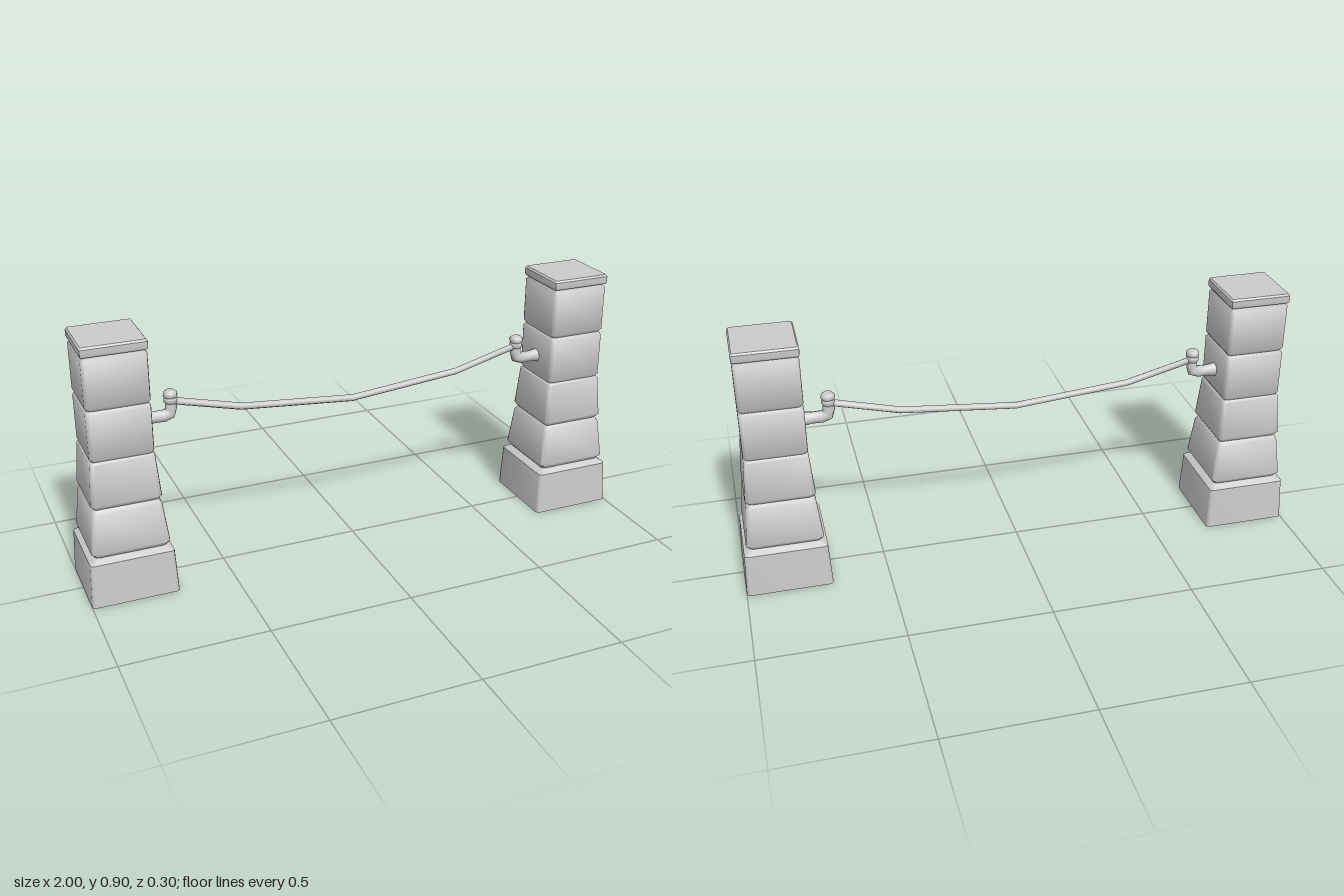
import * as THREE from 'three';
import { toCreasedNormals } from 'three/addons/utils/BufferGeometryUtils.js';

const material = new THREE.MeshStandardMaterial({ color: 0xcccccc, side: THREE.DoubleSide });

// Skin a list of equal-length rings, each running counter-clockwise about the path
function loft(name, rings, { capStart = false, capEnd = false, crease = 0.9 } = {}) {
  const n = rings[0].length, positions = rings.flat(2), index = [];
  for (let i = 0; i < rings.length - 1; i++) {
    for (let j = 0; j < n; j++) {
      const a = i * n + j, b = i * n + (j + 1) % n;
      index.push(a, b, a + n, b, b + n, a + n);
    }
  }
  const last = (rings.length - 1) * n;
  for (let j = 1; j < n - 1; j++) {
    if (capStart) index.push(0, j + 1, j);
    if (capEnd) index.push(last, last + j, last + j + 1);
  }
  const geometry = new THREE.BufferGeometry();
  geometry.setAttribute('position', new THREE.Float32BufferAttribute(positions, 3));
  geometry.setIndex(index);
  const mesh = new THREE.Mesh(toCreasedNormals(geometry, crease), material);
  mesh.name = name;
  return mesh;
}

// Horizontal square ring with rounded corners
function squareRing(half, y, corner = 0.012) {
  const ring = [], c = half - corner;
  for (let k = 0; k < 4; k++) {
    for (let s = 0; s <= 2; s++) {
      const t = (k + s / 2) * Math.PI / 2;
      const mid = (k + 0.5) * Math.PI / 2;
      ring.push([
        Math.sign(Math.sin(mid)) * c + Math.sin(t) * corner, y,
        Math.sign(Math.cos(mid)) * c + Math.cos(t) * corner,
      ]);
    }
  }
  return ring;
}

// Round ring across a path that lies in the xy plane
function roundRing(x, y, angle, r, sides = 8) {
  return Array.from({ length: sides }, (_, j) => {
    const t = j / sides * Math.PI * 2, u = r * Math.cos(t);
    return [x - Math.sin(angle) * u, y + Math.cos(angle) * u, r * Math.sin(t)];
  });
}

function createPost() {
  const post = new THREE.Group();
  post.name = 'post';

  // Tapering stone courses separated by grooves: [half width, height], open below
  const courses = [
    [0.15, 0], [0.143, 0.155], [0.12, 0.17], [0.133, 0.187],
    [0.118, 0.325], [0.108, 0.34], [0.119, 0.355],
    [0.108, 0.5], [0.101, 0.507], [0.107, 0.517],
    [0.107, 0.672], [0.099, 0.683], [0.107, 0.695],
    [0.107, 0.853], [0.099, 0.863], [0.099, 0.87],
  ];
  post.add(loft('stoneColumn', courses.map(([h, y]) => squareRing(h, y))));

  // Bevelled cap slab
  const slab = [[0.099, 0.865], [0.106, 0.867], [0.109, 0.873], [0.109, 0.895], [0.104, 0.902]];
  post.add(loft('capSlab', slab.map(([h, y]) => squareRing(h, y, 0.005)),
    { capStart: true, capEnd: true, crease: 0.6 }));

  // Arm leaving the inner face and turning upwards
  const arm = [
    [0.09, 0.586, 0, 0.027], [0.112, 0.586, 0, 0.025], [0.135, 0.586, 0, 0.021],
    [0.172, 0.586, 0, 0.022], [0.19, 0.593, Math.PI / 4, 0.023],
    [0.195, 0.61, Math.PI / 2, 0.021], [0.195, 0.635, Math.PI / 2, 0.018],
  ];
  post.add(loft('bracketArm', arm.map((p) => roundRing(...p)), { capEnd: true }));

  // Knob that holds the rope
  const knob = [[0.624, 0.015], [0.634, 0.023], [0.644, 0.024], [0.65, 0.021],
    [0.656, 0.025], [0.666, 0.024], [0.675, 0.014]];
  post.add(loft('bracketKnob', knob.map(([y, r]) => roundRing(0.195, y, Math.PI / 2, r)),
    { capStart: true, capEnd: true }));
  return post;
}

export function createModel() {
  const model = new THREE.Group();
  model.name = 'ropeBarrier';

  // Two posts facing each other
  for (const side of [-1, 1]) {
    const post = createPost();
    post.name = side < 0 ? 'rightPost' : 'leftPost';
    post.position.x = side * 0.85;
    if (side > 0) post.rotation.y = Math.PI;
    model.add(post);
  }

  // Sagging rope in four straight runs
  const rope = [[-0.655, 0.637, -0.25], [-0.41, 0.574, -0.18], [0, 0.537, 0],
    [0.41, 0.574, 0.18], [0.655, 0.637, 0.25]];
  model.add(loft('rope', rope.map(([x, y, a]) => roundRing(x, y, a, 0.013, 6)),
    { capStart: true, capEnd: true, crease: 1.2 }));
  return model;
}
